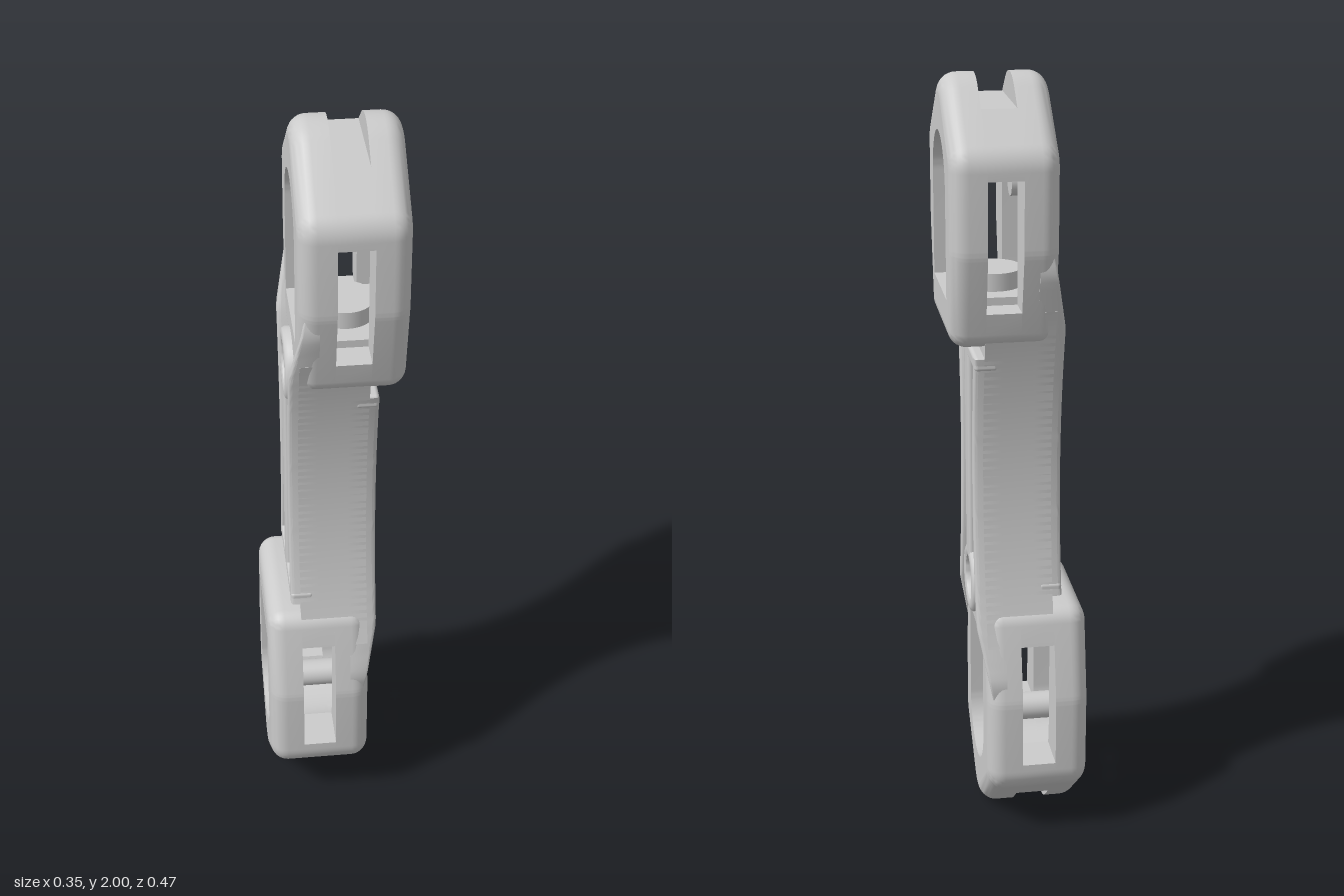
import * as THREE from 'three';
import { toCreasedNormals } from 'three/addons/utils/BufferGeometryUtils.js';
import { RoundedBoxGeometry } from 'three/addons/geometries/RoundedBoxGeometry.js';

const mat = new THREE.MeshStandardMaterial({ color: 0xcccccc });
const B = 0.045;     // edge rounding of the head
const FACE = 0.087;  // half thickness of the shaft web

function mesh(name, geo) {
  const m = new THREE.Mesh(geo, mat);
  m.name = name;
  return m;
}

// Skin over closed rings of [x, y, z] points
function loft(rings) {
  const n = rings[0].length, idx = [];
  for (let i = 0; i < rings.length - 1; i++) {
    for (let j = 0; j < n; j++) {
      const k = (j + 1) % n, a = i * n, c = a + n;
      idx.push(a + j, a + k, c + k, a + j, c + k, c + j);
    }
  }
  const g = new THREE.BufferGeometry();
  g.setAttribute('position', new THREE.Float32BufferAttribute(rings.flat(2), 3));
  g.setIndex(idx);
  return toCreasedNormals(g, 0.6);
}

// Plate drawn in (z, y) and extruded from x0 to x1
function plate(shape, x0, x1) {
  const g = new THREE.ExtrudeGeometry(shape, { depth: x1 - x0, bevelEnabled: false, curveSegments: 24 });
  g.rotateY(Math.PI / 2).translate(x0, 0, 0);
  return toCreasedNormals(g, 0.5);
}

const toShape = pts => new THREE.Shape(pts.map(p => new THREE.Vector2(p[0], p[1])));

// Head hexagon: sharp corners [z, y, corner radius]
const corners = [[-0.181, 1.355, 0.05], [0.181, 1.355, 0.05], [0.233, 1.6, 0.12],
  [0.233, 1.836, 0.08], [0, 2.032, 0.11], [-0.233, 1.836, 0.08], [-0.233, 1.6, 0.12]];

// Rounded hexagon shrunk by d, as [z, y] points
function outline(d) {
  const n = corners.length, steps = 8, pts = [];
  const edgeAngle = i => {
    const a = corners[(i + n) % n], b = corners[(i + 1) % n];
    return Math.atan2(a[0] - b[0], b[1] - a[1]);
  };
  corners.forEach(([z, y, r], i) => {
    const a0 = edgeAngle(i - 1);
    const turn = (edgeAngle(i) - a0 + 4 * Math.PI) % (2 * Math.PI);
    const mid = a0 + turn / 2, off = r / Math.cos(turn / 2);
    const cz = z - Math.cos(mid) * off, cy = y - Math.sin(mid) * off;
    for (let s = 0; s <= steps; s++) {
      const a = a0 + turn * s / steps;
      pts.push([cz + Math.cos(a) * (r - d), cy + Math.sin(a) * (r - d)]);
    }
  });
  return pts;
}

// Arched window through the head
function windowPath() {
  const p = new THREE.Path();
  p.moveTo(-0.125, 1.47);
  p.lineTo(0.125, 1.47);
  p.lineTo(0.125, 1.735);
  p.absarc(0, 1.735, 0.125, 0, Math.PI, false);
  p.closePath();
  return p;
}

// One cheek of the head: windowed plate with a skirt rounded on its outer side
function cheek(name, x0, x1, outerIsPositive) {
  const g = new THREE.Group();
  g.name = name;
  const s = toShape(outline(B));
  s.holes.push(windowPath());
  g.add(mesh(name + 'Plate', plate(s, x0, x1)));

  // [depth below the outer face, inset]
  const rows = [];
  for (let i = 0; i <= 8; i++) {
    const a = i / 8 * Math.PI / 2;
    rows.push([B * (1 - Math.cos(a)), B * (1 - Math.sin(a))]);
  }
  rows.push([x1 - x0, 0], [x1 - x0, B]);
  if (!outerIsPositive) rows.reverse();
  g.add(mesh(name + 'Rim', loft(rows.map(([depth, d]) => {
    const x = outerIsPositive ? x1 - depth : x0 + depth;
    return outline(d).map(([z, y]) => [x, y, z]);
  }))));
  return g;
}

function makeHead() {
  const g = new THREE.Group();
  g.name = 'head';
  g.add(cheek('outerCheek', 0.087, 0.175, true), cheek('innerCheek', -0.09, 0, false));

  // Core between the cheeks, open at the sides and notched on top
  const pts = outline(0);
  const foot = pts.filter(p => p[1] < 1.45);
  foot.push([0.201, 1.45], [0.125, 1.45], [0.125, 1.47], [-0.125, 1.47], [-0.125, 1.45], [-0.201, 1.45]);
  g.add(mesh('headFoot', plate(toShape(foot), 0, 0.087)));

  const shoulder = pts.filter(p => p[0] > 0 && p[1] > 1.78 && p[1] < 1.93);
  const mirror = shoulder.map(p => [-p[0], p[1]]).reverse();
  const crown = [[0.233, 1.78], ...shoulder, [0.1213, 1.93], [-0.1213, 1.93], ...mirror, [-0.233, 1.78]];
  const a0 = Math.asin(0.045 / 0.125);
  for (let i = 0; i <= 24; i++) {
    const a = Math.PI - a0 - (Math.PI - 2 * a0) * i / 24;
    crown.push([0.125 * Math.cos(a), 1.735 + 0.125 * Math.sin(a)]);
  }
  g.add(mesh('headCrown', plate(toShape(crown), 0, 0.087)));

  // Round stud on the window sill
  const stud = mesh('sillStud', new THREE.CylinderGeometry(0.074, 0.074, 0.07, 40));
  stud.position.set(0.043, 1.48, 0);
  g.add(stud);
  return g;
}

const halfWidth = y => Math.min(0.233, 0.127 + 0.36 * (y - 1) ** 2);

// Raised ribs and ring on one face of the shaft
function makeFaceRibs() {
  const g = new THREE.Group();
  g.name = 'faceRibs';

  // Edge ribs follow the waist and sink into the head
  const rings = [];
  for (let i = 0; i <= 45; i++) {
    const y = 1.325 - 0.915 * i / 45;
    const f = Math.min(1, Math.max(0, (y - 0.41) / 0.19));
    const w = halfWidth(y) - 0.014 * (1 - f) ** 2;
    const h = 0.076 + 0.036 * f, t = 0.012 + 0.022 * f, r = 0.003 + 0.007 * f;
    const ring = [[w - t, 0.04]];
    for (let k = 0; k <= 3; k++) {
      const a = k / 3 * Math.PI / 2;
      ring.push([w - t + r * (1 - Math.cos(a)), h - r + r * Math.sin(a)]);
    }
    for (let k = 0; k <= 3; k++) {
      const a = k / 3 * Math.PI / 2;
      ring.push([w - r + r * Math.sin(a), h - r + r * Math.cos(a)]);
    }
    ring.push([w, 0.04]);
    rings.push(ring.map(([z, x]) => [x, y, z]));
  }
  const ribGeo = loft(rings);
  for (const s of [1, -1]) {
    const m = mesh('edgeRib', ribGeo);
    m.scale.z = s;
    g.add(m);
  }

  const cross = mesh('crossRib', new RoundedBoxGeometry(0.06, 0.036, 0.322, 3, 0.01));
  cross.position.set(0.082, 1.309, 0);
  const spine = mesh('centreRib', new RoundedBoxGeometry(0.06, 0.58, 0.064, 3, 0.01));
  spine.position.set(0.082, 1.025, 0);
  g.add(cross, spine);

  const profile = [[0.092, -0.03], [0.092, 0.017], [0.088, 0.024], [0.08, 0.027],
    [0.067, 0.027], [0.06, 0.024], [0.057, 0.017], [0.057, -0.03]].map(p => new THREE.Vector2(...p));
  const boss = mesh('ringBoss', toCreasedNormals(new THREE.LatheGeometry(profile, 48), 0.7));
  boss.rotation.z = -Math.PI / 2;
  boss.position.set(0.085, 0.668, 0);
  g.add(boss);
  return g;
}

export function createModel() {
  const model = new THREE.Group();
  model.name = 'doubleEndedLink';

  // Waisted shaft web
  const right = [], left = [];
  for (let i = 0; i <= 40; i++) {
    const y = 0.55 + 0.9 * i / 40;
    right.push([halfWidth(y), y]);
    left.unshift([-halfWidth(y), y]);
  }
  model.add(mesh('shaftWeb', plate(toShape([...right, ...left]), -FACE, FACE)));

  // Two identical ends, the second turned half a turn about the middle
  for (const turned of [false, true]) {
    const half = new THREE.Group();
    half.name = turned ? 'lowerEnd' : 'upperEnd';
    half.add(makeHead(), makeFaceRibs());
    if (turned) {
      half.rotation.z = Math.PI;
      half.position.y = 2;
    }
    model.add(half);
  }

  // Cross pins inside the windows: [y, from x, to x]
  for (const [y, x0, x1] of [[0.27, -0.11, 0.02], [1.73, -0.03, 0]]) {
    const pin = mesh('windowPin', new THREE.CylinderGeometry(0.037, 0.037, x1 - x0, 32));
    pin.rotation.z = Math.PI / 2;
    pin.position.set((x0 + x1) / 2, y, 0);
    model.add(pin);
  }
  return model;
}
